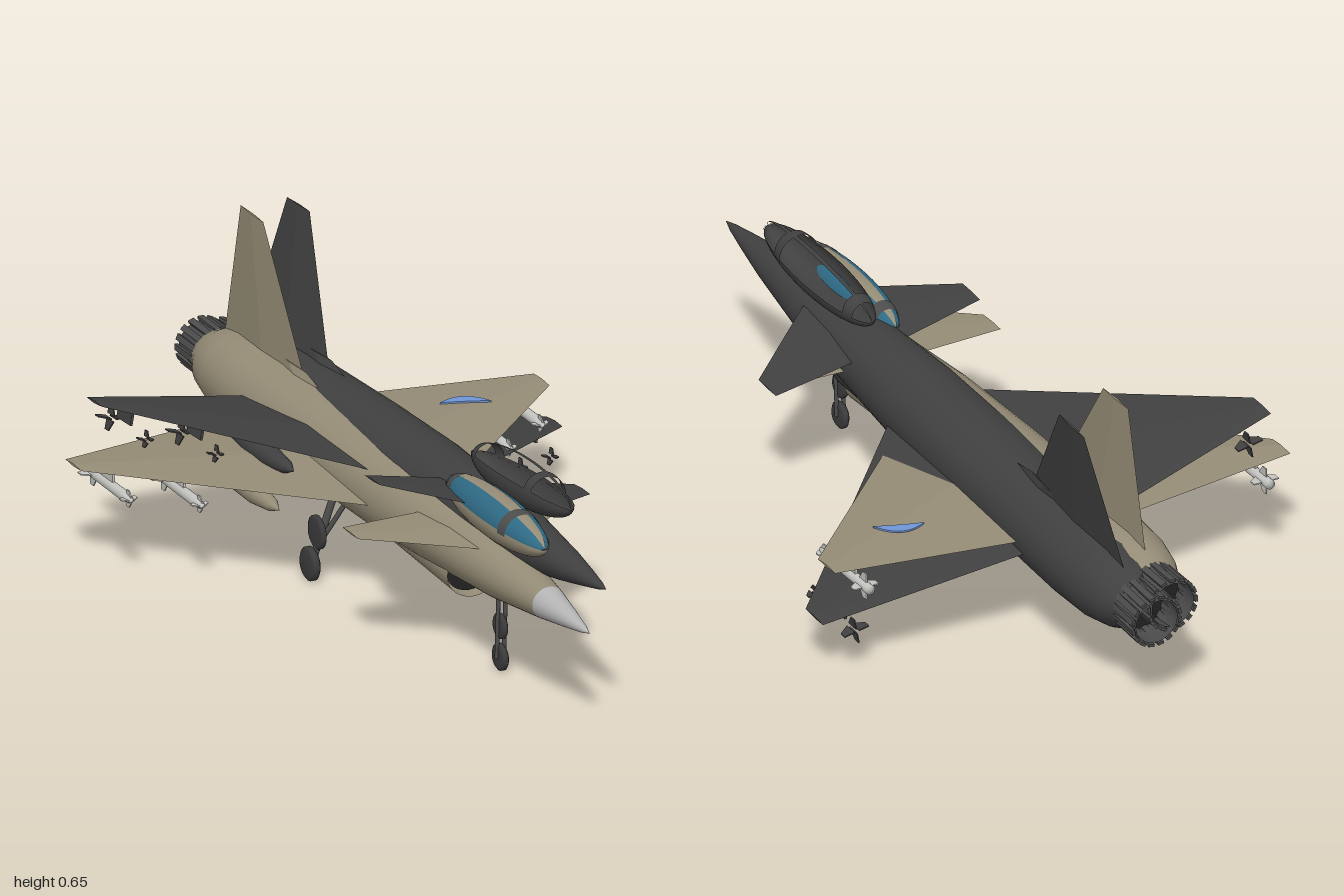
import * as THREE from 'three';
import { ConvexGeometry } from 'three/addons/geometries/ConvexGeometry.js';

const material = (name, color, side = THREE.FrontSide) => {
  const m = new THREE.MeshStandardMaterial({ color, side });
  m.name = name;
  return m;
};
const V = (x, y, z) => new THREE.Vector3(x, y, z);

export function createModel() {
  const tan = material('tan paint', 0x958c76, THREE.DoubleSide);
  const dark = material('dark paint', 0x404040, THREE.DoubleSide);
  const cone = material('nose grey', 0xb4b4b4);
  const glass = material('canopy glass', 0x2f6a85);
  const metal = material('nozzle metal', 0x4c4c4c, THREE.DoubleSide);
  const rubber = material('tyre', 0x3c3c3c);
  const white = material('missile white', 0xc4c4c0);
  const blue = material('wing marking', 0x6f96d6);
  const black = material('shadow black', 0x222222);

  function add(parent, name, geometry, mat) {
    const m = new THREE.Mesh(geometry, mat);
    m.name = name;
    parent.add(m);
    return m;
  }

  // Revolved body along z from [radius, z] pairs listed tail to nose
  function turned(pairs, sides = 32) {
    const g = new THREE.LatheGeometry(pairs.map(([r, z]) => new THREE.Vector2(r, z)), sides);
    return g.rotateX(Math.PI / 2);
  }

  // Tapered panel with a diamond section; p(span, thickness, z) maps into space
  function panel(root, tip, p) {
    const points = [];
    for (const [span, lead, trail, t] of [root, tip]) {
      const mid = lead * 0.5 + trail * 0.5;
      points.push(p(span, 0, lead), p(span, t, mid), p(span, -t, mid), p(span, 0, trail));
    }
    return new ConvexGeometry(points);
  }

  // Rod between two points
  function rod(parent, name, a, b, r, mat) {
    const m = add(parent, name, new THREE.CylinderGeometry(r, r, a.distanceTo(b), 10), mat);
    m.position.copy(a).add(b).multiplyScalar(0.5);
    m.quaternion.setFromUnitVectors(V(0, 1, 0), b.clone().sub(a).normalize());
  }

  // Part of the canopy bubble; phi runs around the z axis, theta from the nose
  function bubble(parent, name, phi, dPhi, theta, dTheta, scale, mat) {
    const g = new THREE.SphereGeometry(1, 24, 24, phi, dPhi, theta, dTheta);
    g.rotateX(Math.PI / 2).scale(0.053 * scale, 0.053 * scale, 0.24 * scale);
    add(parent, name, g, mat).position.set(0, 0.12, 0.53);
  }

  function missile(parent, x, z, armed, finMat) {
    const g = new THREE.Group();
    g.name = 'missile';
    g.position.set(x, -0.045, z);
    if (armed) {
      add(g, 'missileBody', turned([[0, -0.12], [0.012, -0.12], [0.013, 0.07], [0.008, 0.1], [0, 0.115]], 14), white);
    }
    for (let i = 0; i < 4; i++) {
      for (const [fz, chord, r] of [[-0.085, 0.035, 0.032], [0.095, 0.024, 0.02]]) {
        const fin = add(g, 'missileFin', new ConvexGeometry([
          V(-0.0015, 0.006, fz + chord / 2), V(0.0015, 0.006, fz + chord / 2),
          V(-0.0015, 0.006, fz - chord / 2), V(0.0015, 0.006, fz - chord / 2),
          V(-0.0015, r, fz - chord / 2), V(0.0015, r, fz - chord / 2),
          V(-0.0015, r, fz), V(0.0015, r, fz)]), finMat);
        fin.rotation.z = i * Math.PI / 2;
      }
    }
    const pylon = add(g, 'pylon', new THREE.BoxGeometry(0.006, 0.034, 0.07), finMat);
    pylon.position.set(0, 0.026, -0.02);
    parent.add(g);
  }

  // One complete aircraft around its own axis
  function aircraft(name, paint, complete) {
    const jet = new THREE.Group();
    jet.name = name;

    // Fuselage and nose
    const hull = add(jet, 'fuselage', turned([[0.062, -0.9], [0.085, -0.85], [0.1, -0.78], [0.107, -0.65],
      [0.107, -0.2], [0.102, 0.1], [0.086, 0.35], [0.069, 0.58], [0.041, 0.79]]), paint);
    hull.scale.y = 0.95;
    const nose = add(jet, 'noseCone', turned([[0.041, 0.79], [0.024, 0.89], [0.01, 0.965], [0, 1]]), complete ? cone : paint);
    nose.scale.y = 0.95;

    // Belly intake
    const duct = new THREE.CylinderGeometry(1, 0.8, 0.8, 28, 1, true);
    duct.rotateX(Math.PI / 2).scale(0.066, 0.06, 1);
    const intake = add(jet, 'intake', duct, paint);
    intake.position.set(0, -0.054, 0.01);
    intake.rotation.x = 0.015;
    const mouth = add(jet, 'intakeMouth', new THREE.CircleGeometry(1, 28), black);
    mouth.scale.set(0.058, 0.053, 1);
    mouth.position.set(0, -0.06, 0.385);

    // Exhaust nozzle with petals
    add(jet, 'nozzle', turned([[0.054, -0.98], [0.064, -0.88]], 18), metal);
    for (let i = 0; i < 16; i++) {
      const a = i * Math.PI / 8;
      const petal = add(jet, 'nozzlePetal', new THREE.BoxGeometry(0.015, 0.007, 0.1), metal);
      petal.position.set(Math.sin(a) * 0.061, Math.cos(a) * 0.061, -0.93);
      petal.rotation.z = -a;
    }
    const core = add(jet, 'nozzleCore', new THREE.CircleGeometry(0.062, 24), black);
    core.position.z = -0.9;
    core.rotation.y = Math.PI;

    // Wings, canards and stores
    for (const s of [-1, 1]) {
      const flat = y => (span, t, z) => V(s * span, y + t, z);
      add(jet, 'wing', panel([0.06, 0.12, -0.56, 0.02], [0.588, -0.395, -0.475, 0.003], flat(0)), paint);
      add(jet, 'canard', panel([0.05, 0.54, 0.275, 0.005], [0.268, 0.365, 0.285, 0.002], flat(0.05)), paint);
      missile(jet, s * 0.517, -0.39, complete, complete ? white : paint);
      missile(jet, s * 0.388, -0.29, complete, complete ? white : paint);
      const tank = add(jet, 'dropTank', turned([[0, -0.17], [0.014, -0.13], [0.025, -0.05], [0.026, 0.04], [0.016, 0.12], [0, 0.16]], 20), paint);
      tank.position.set(s * 0.236, -0.052, -0.26);
      const strut = add(jet, 'tankPylon', new THREE.BoxGeometry(0.008, 0.04, 0.12), paint);
      strut.position.set(s * 0.236, -0.02, -0.27);
    }

    // Tail fin and dorsal fillet
    const upright = (span, t, z) => V(t, span, z);
    add(jet, 'tailFin', panel([0.07, -0.43, -0.855, 0.012], [0.405, -0.66, -0.775, 0.003], upright), paint);
    add(jet, 'dorsalFillet', panel([0.08, -0.28, -0.6, 0.016], [0.118, -0.44, -0.6, 0.006], upright), paint);

    // Canopy: solid lower half, framed upper half
    const top = Math.PI * 1.5, strip = complete ? 0.32 : 0.1;
    bubble(jet, 'canopySill', 0, Math.PI, 0, Math.PI, 1, paint);
    if (complete) bubble(jet, 'canopyGlass', Math.PI, Math.PI, 0, Math.PI, 0.99, glass);
    bubble(jet, 'canopySpine', top - strip, strip * 2, 0, Math.PI, 1.005, paint);
    for (const [theta, width] of [[1.02, 0.14], [2.35, 0.2]]) {
      bubble(jet, 'canopyHoop', Math.PI, Math.PI, theta, width, 1.01, complete ? metal : paint);
    }
    for (const p of [Math.PI, Math.PI * 2 - 0.16]) bubble(jet, 'canopyRail', p, 0.16, 0, Math.PI, 1.005, paint);
    return jet;
  }

  // Wheel with its axle along x
  function wheel(parent, x, y, z, r, w) {
    const m = add(parent, 'wheel', turned([[0, -w / 2], [r * 0.8, -w / 2], [r, -w / 4], [r, w / 4], [r * 0.8, w / 2], [0, w / 2]], 22), rubber);
    m.rotation.y = Math.PI / 2;
    m.position.set(x, y, z);
  }

  const model = new THREE.Group();
  model.name = 'pairedJets';

  // Level tan aircraft
  const level = aircraft('tanJet', tan, true);
  level.position.set(-0.022, 0.25, 0);
  model.add(level);

  // Rolled and pitched dark aircraft
  const rolled = aircraft('darkJet', dark, false);
  rolled.position.set(0.03, 0.284, -0.02);
  rolled.rotation.set(-0.056, 0, -0.211);
  model.add(rolled);

  // Landing gear of the level aircraft: wheels with round covers above
  const gear = new THREE.Group();
  gear.name = 'landingGear';
  gear.position.x = -0.022;
  model.add(gear);
  wheel(gear, 0, 0.032, 0.545, 0.032, 0.018);
  wheel(gear, 0, 0.107, 0.545, 0.03, 0.016);
  for (const s of [-1, 1]) {
    rod(gear, 'noseStrut', V(s * 0.009, 0.03, 0.545), V(s * 0.009, 0.21, 0.555), 0.005, metal);
    wheel(gear, s * 0.142, 0.04, -0.135, 0.04, 0.022);
    wheel(gear, s * 0.124, 0.113, -0.135, 0.04, 0.016);
    rod(gear, 'mainStrut', V(s * 0.138, 0.04, -0.135), V(s * 0.075, 0.215, -0.135), 0.009, metal);
    rod(gear, 'sideBrace', V(s * 0.115, 0.09, -0.135), V(s * 0.06, 0.2, -0.1), 0.006, metal);
  }

  // Crescent marking on the left wing
  const crescent = new THREE.Shape();
  crescent.moveTo(-0.055, 0.01);
  crescent.quadraticCurveTo(0.02, 0.055, 0.055, -0.03);
  crescent.quadraticCurveTo(0, -0.005, -0.055, 0.01);
  const mark = add(level, 'wingMarking', new THREE.ExtrudeGeometry(crescent, { depth: 0.004, bevelEnabled: false }), blue);
  mark.rotation.x = -Math.PI / 2;
  mark.position.set(0.36, 0.0095, -0.37);
  return model;
}
